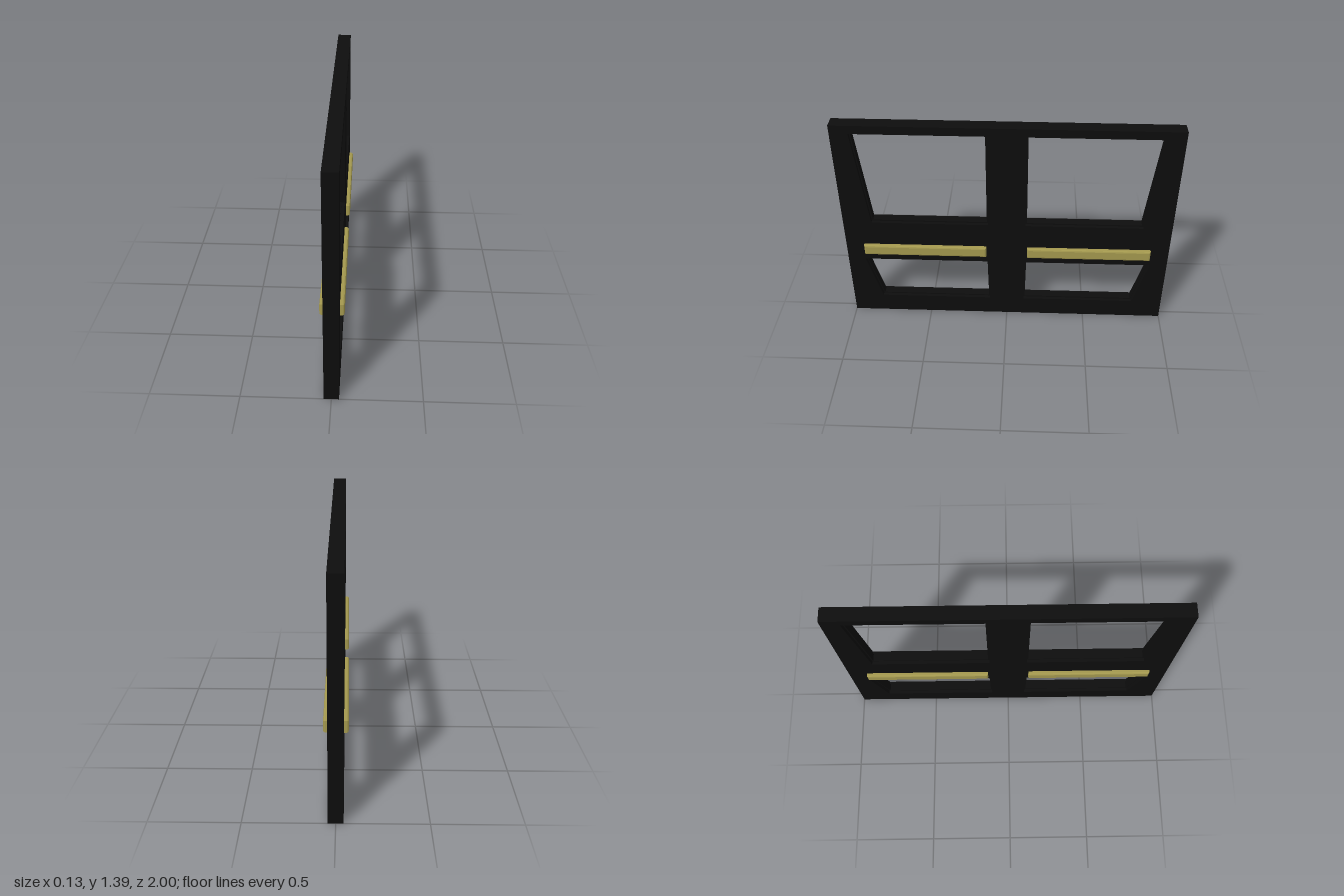
import * as THREE from 'three';

const frameMat = new THREE.MeshStandardMaterial({ color: 0x0d0d0d });
frameMat.name = 'black frame';
const brassMat = new THREE.MeshStandardMaterial({ color: 0xa3984e });
brassMat.name = 'dull brass';

const HEIGHT = 1.395, THICK = 0.084, LIP = 0.008;

// Openings of one leaf as [z, y] corners; the other leaf mirrors them
const UPPER = [[0.122, 1.335], [0.885, 1.335], [0.818, 0.73], [0.122, 0.73]];
const LOWER = [[0.122, 0.427], [0.885, 0.427], [0.8, 0.135], [0.116, 0.135]];

// Opening outline, widened by grow on each side
function opening(points, side, grow) {
  const cz = 0.5, cy = (points[0][1] + points[2][1]) / 2;
  return new THREE.Path(points.map(([z, y]) => new THREE.Vector2(
    side * (z + Math.sign(z - cz) * grow), y + Math.sign(y - cy) * grow)));
}

// Turn a z-y outline extrusion so its depth runs along x, centred on x
function extrudeAcross(shape, depth, x, options = {}) {
  const geo = new THREE.ExtrudeGeometry(shape, { depth, bevelEnabled: false, ...options });
  geo.translate(0, 0, -depth / 2);
  geo.rotateY(-Math.PI / 2);
  geo.translate(x, 0, 0);
  return geo;
}

function panel(name, depth, x, grow) {
  const shape = new THREE.Shape([[-1, 0], [1, 0], [1, HEIGHT], [-1, HEIGHT]]
    .map(([z, y]) => new THREE.Vector2(z, y)));
  for (const side of [-1, 1]) {
    for (const points of [UPPER, LOWER]) shape.holes.push(opening(points, side, grow));
  }
  const mesh = new THREE.Mesh(extrudeAcross(shape, depth, x), frameMat);
  mesh.name = name;
  return mesh;
}

// Push bar with softened edges, passing through the frame to both faces
function pushBar(name, side) {
  const r = 0.01, z0 = 0.127 + r, z1 = 0.887 - r, y0 = 0.487 + r, y1 = 0.557 - r;
  const shape = new THREE.Shape([[z0, y0], [z1, y0], [z1, y1], [z0, y1]]
    .map(([z, y]) => new THREE.Vector2(side * z, y)));
  const geo = extrudeAcross(shape, 0.134 - 2 * r, 0, {
    bevelEnabled: true, bevelSize: r, bevelThickness: r, bevelSegments: 2,
  });
  const mesh = new THREE.Mesh(geo, brassMat);
  mesh.name = name;
  return mesh;
}

export function createModel() {
  const group = new THREE.Group();
  group.name = 'doubleDoor';

  // Core with a small lip around each opening, between two facing layers
  const core = 0.044, face = (THICK - core) / 2;
  group.add(panel('frameCore', core, 0, 0));
  for (const s of [-1, 1]) {
    group.add(panel(s > 0 ? 'leftFacing' : 'rightFacing', face, s * (core + face) / 2, LIP));
  }

  group.add(pushBar('frontPushBar', 1), pushBar('backPushBar', -1));
  return group;
}
